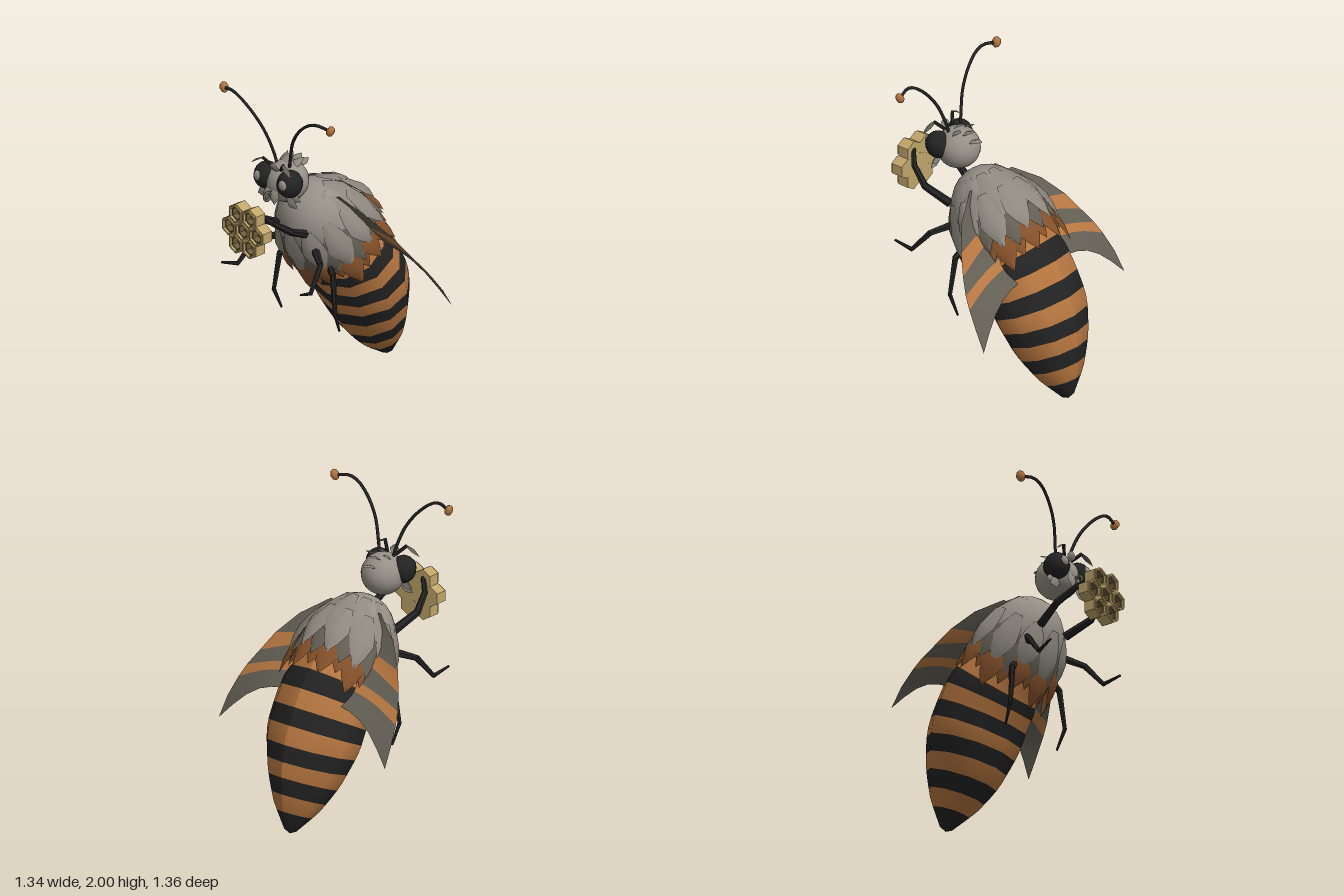
import * as THREE from 'three';

const V = (x, y, z) => new THREE.Vector3(x, y, z);
const make = (name, color, extra = {}) => {
  const m = new THREE.MeshStandardMaterial({ color, ...extra });
  m.name = name;
  return m;
};

// Grid of points (rows of equal length) to a smooth surface; rowMaterial gives one material index per row gap
function gridGeometry(rows, rowMaterial) {
  const n = rows[0].length, index = [];
  const geo = new THREE.BufferGeometry().setFromPoints(rows.flat());
  for (let i = 0; i < rows.length - 1; i++) {
    if (rowMaterial) geo.addGroup(index.length, (n - 1) * 6, rowMaterial(i));
    for (let j = 0; j < n - 1; j++) {
      const a = i * n + j, b = a + 1, c = a + n, d = c + 1;
      index.push(a, b, c, b, d, c);
    }
  }
  geo.setIndex(index);
  geo.computeVertexNormals();
  return geo;
}

// Pointed, ridged leaf from base to tip
function leafGeometry(base, tip, up, halfWidth, bulge) {
  const side = tip.clone().sub(base).cross(up).normalize();
  const widths = [0.35, 0.8, 1, 0.62, 0];
  const rows = widths.map((w, i) => {
    const s = i / 4, mid = base.clone().lerp(tip, s);
    return [-1, 0, 1].map(k => mid.clone()
      .addScaledVector(side, k * w * halfWidth)
      .addScaledVector(up, (k ? 0.2 : 1) * Math.sin(Math.PI * s) * bulge));
  });
  return gridGeometry(rows);
}

export function createModel() {
  const model = new THREE.Group();
  model.name = 'bee';
  const fur = make('grey fur', 0x969087);
  const furLeaf = make('grey tufts', 0x8e887f, { side: THREE.DoubleSide });
  const rust = make('rust tufts', 0x84502a, { side: THREE.DoubleSide });
  const orange = make('orange', 0xb67640);
  const black = make('black', 0x232323);
  const wingGrey = make('wing grey', 0x625e54, { side: THREE.DoubleSide });
  const wingOrange = make('wing orange', 0xb67640, { side: THREE.DoubleSide });
  const comb = make('honeycomb', 0xc0a56a);
  const cell = make('honeycomb cell', 0x6b5a3a);
  const legMat = make('leg black', 0x232323, { flatShading: true });

  const add = (name, geo, mat, parent = model) => {
    const mesh = new THREE.Mesh(geo, mat);
    mesh.name = name;
    parent.add(mesh);
    return mesh;
  };
  const group = name => {
    const g = new THREE.Group();
    g.name = name;
    model.add(g);
    return g;
  };
  const ball = (name, mat, pos, scale, w = 16, h = 12) => {
    const m = add(name, new THREE.SphereGeometry(1, w, h), mat);
    m.position.copy(pos);
    m.scale.copy(scale);
    return m;
  };
  const limb = (name, points, r0, r1) => {
    const g = group(name);
    for (let i = 0; i < points.length - 1; i++) {
      const a = points[i], b = points[i + 1], n = points.length - 1;
      const ra = r0 + (r1 - r0) * i / n, rb = r0 + (r1 - r0) * (i + 1) / n;
      const m = add(name + 'Segment', new THREE.CylinderGeometry(rb, ra, a.distanceTo(b) + 0.01, 6), legMat, g);
      m.position.copy(a).lerp(b, 0.5);
      m.quaternion.setFromUnitVectors(V(0, 1, 0), b.clone().sub(a).normalize());
    }
  };

  // Striped abdomen: ten-sided rings swept along a bent spine, two rings per stripe
  const spine = new THREE.CatmullRomCurve3([V(0, 0.95, -0.14), V(0, 0.81, -0.25), V(0, 0.6, -0.365),
    V(0, 0.345, -0.465), V(0, 0.165, -0.54), V(0, 0.022, -0.6)]);
  const radii = new THREE.CatmullRomCurve3([V(0.27, 0.24, 0), V(0.325, 0.272, 0), V(0.325, 0.275, 0),
    V(0.25, 0.235, 0), V(0.155, 0.15, 0), V(0.04, 0.04, 0)]);
  const steps = 20, rings = [];
  for (let i = 0; i <= steps; i++) {
    const t = spine.getUtoTmapping(i / steps);
    const c = spine.getPoint(t), T = spine.getTangent(t), r = radii.getPoint(t);
    rings.push(Array.from({ length: 11 }, (_, j) => {
      const a = j * Math.PI / 5;
      return V(Math.sin(a) * r.x, -T.z * Math.cos(a) * r.y, T.y * Math.cos(a) * r.y).add(c);
    }));
  }
  rings.push(rings[0].map(() => V(0, 0.002, -0.604)));
  add('abdomen', gridGeometry(rings, i => (i >= steps ? 1 : Math.floor(i / 2) % 2)), [orange, black]);

  // Thorax ball tilted along the body axis
  const origin = V(0, 1.4, 0.18), axis = V(0, -0.837, -0.547), back = V(0, 0.547, -0.837);
  const thorax = ball('thorax', fur, origin.clone().addScaledVector(axis, 0.36).addScaledVector(back, -0.01),
    V(0.265, 0.31, 0.255), 20, 14);
  thorax.quaternion.setFromUnitVectors(V(0, 1, 0), axis.clone().negate());

  // Overlapping rings of fur tufts, flaring more on the back
  const tuftRing = (name, mat, count, phase, t0, r0, t1, r1, w, bulge, vary) => {
    const g = group(name);
    for (let i = 0; i < count; i++) {
      const a = (i + phase) / count * Math.PI * 2;
      const out = back.clone().multiplyScalar(Math.cos(a)).add(V(Math.sin(a), 0, 0));
      const at = (t, r) => origin.clone().addScaledVector(axis, t).addScaledVector(out, r);
      const tip = at(t1 + (i % 2 ? vary : -vary), r1 * (1 + 0.07 * Math.cos(a)));
      add('tuft', leafGeometry(at(t0, r0), tip, out, w, bulge), mat, g);
    }
  };
  tuftRing('collarTufts', furLeaf, 10, 0, 0.09, 0.13, 0.38, 0.295, 0.078, 0.045, 0.01);
  tuftRing('middleTufts', furLeaf, 11, 0.5, 0.2, 0.235, 0.53, 0.33, 0.082, 0.045, 0.02);
  tuftRing('shadeTufts', wingGrey, 11, 0, 0.26, 0.235, 0.56, 0.325, 0.075, 0.03, 0.015);
  tuftRing('lowerTufts', rust, 11, 0.5, 0.34, 0.245, 0.68, 0.335, 0.082, 0.045, 0.03);
  tuftRing('underTufts', rust, 11, 0, 0.36, 0.24, 0.63, 0.315, 0.07, 0.03, 0.02);

  // Head and curled tongue
  ball('head', fur, V(0, 1.457, 0.28), V(0.137, 0.135, 0.14), 20, 14);
  const tongue = add('tongue', new THREE.TorusGeometry(0.026, 0.01, 6, 12), wingGrey);
  tongue.position.set(0, 1.4, 0.45);
  tongue.rotation.y = Math.PI / 2;
  const headTuft = (name, b, t, w) => {
    const up = t.clone().sub(V(0, 1.457, 0.28)).add(V(0, 0.03, 0.01));
    const dir = t.clone().sub(b).normalize();
    up.addScaledVector(dir, -up.dot(dir)).normalize();
    add(name, leafGeometry(b, t, up, w, 0.015), furLeaf);
  };
  headTuft('crownTuft', V(0, 1.56, 0.33), V(0, 1.635, 0.22), 0.04);
  headTuft('crownTuft', V(0, 1.55, 0.25), V(0, 1.6, 0.15), 0.045);
  headTuft('napeTuft', V(0, 1.52, 0.2), V(0, 1.55, 0.09), 0.04);
  headTuft('foreheadTuft', V(0, 1.55, 0.38), V(0, 1.615, 0.4), 0.04);

  // Thin fan wing rows: [root point, outer point]; material per gap
  const wingRows = [
    [V(0.16, 1.31, 0.03), V(0.2, 1.32, 0.02)], [V(0.17, 1.22, -0.03), V(0.38, 1.2, -0.065)],
    [V(0.18, 1.13, -0.1), V(0.495, 1.07, -0.16)], [V(0.19, 1.08, -0.16), V(0.56, 0.96, -0.23)],
    [V(0.2, 0.98, -0.26), V(0.61, 0.87, -0.295)], [V(0.21, 0.93, -0.31), V(0.635, 0.8, -0.345)],
    [V(0.215, 0.89, -0.36), V(0.66, 0.69, -0.42)], [V(0.22, 0.85, -0.41), V(0.67, 0.565, -0.49)]];

  for (const s of [-1, 1]) {
    const side = s > 0 ? 'left' : 'right';
    const P = (x, y, z) => V(x * s, y, z);

    const rows = wingRows.map(([a, b], i) => Array.from({ length: 6 }, (_, k) => {
      const p = a.clone().lerp(b, k / 5);
      const bend = Math.sin(Math.PI * k / 5) * (i / 7) ** 3;
      return P(p.x, p.y + bend * 0.07, p.z + bend * 0.022);
    }));
    add(side + 'Wing', gridGeometry(rows, i => (i === 2 || i === 4 ? 1 : 0)), [wingGrey, wingOrange]);

    // Eye with pale lens
    ball(side + 'Eye', black, P(0.1, 1.487, 0.355), V(0.08, 0.088, 0.085), 14, 10);
    ball(side + 'EyeLens', fur, P(0.108, 1.5, 0.425), V(0.033, 0.035, 0.02), 8, 6);

    // Face tufts
    headTuft(side + 'CheekTuft', P(0.08, 1.39, 0.36), P(0.17, 1.345, 0.36), 0.035);
    headTuft(side + 'CheekTuft', P(0.09, 1.41, 0.34), P(0.18, 1.385, 0.34), 0.03);
    headTuft(side + 'MouthTuft', P(0.025, 1.45, 0.41), P(0.04, 1.35, 0.43), 0.035);
    headTuft(side + 'CrownTuft', P(0.04, 1.55, 0.3), P(0.07, 1.61, 0.2), 0.03);
    limb(side + 'Brow', [P(0.03, 1.56, 0.36), P(0.085, 1.62, 0.4)], 0.011, 0.011);
    add(side + 'BrowLeaf', leafGeometry(P(0.08, 1.625, 0.4), P(0.175, 1.565, 0.42), V(0.5 * s, 0.85, 0.1), 0.02, 0.012), wingGrey);

    // Antenna with knob
    add(side + 'Antenna', new THREE.TubeGeometry(new THREE.CatmullRomCurve3([P(0.05, 1.55, 0.31),
      P(0.07, 1.63, 0.32), P(0.12, 1.77, 0.35), P(0.2, 1.88, 0.375), P(0.3, 1.96, 0.39),
      P(0.37, 1.98, 0.385), P(0.45, 1.965, 0.365)]), 18, 0.01, 6), black);
    const knob = ball(side + 'AntennaKnob', orange, P(0.46, 1.965, 0.363), V(0.028, 0.037, 0.03), 6, 4);
    knob.rotation.z = -0.4 * s;

    // Legs
    limb(side + 'FrontLeg', [P(0.12, 1.12, 0.25), P(0.165, 1.2, 0.41), P(0.125, 1.285, 0.53), P(0.06, 1.345, 0.59)], 0.028, 0.014);
    limb(side + 'MiddleLeg', [P(0.17, 1.0, 0.2), P(0.28, 0.97, 0.27), P(0.315, 0.825, 0.39), P(0.34, 0.86, 0.5)], 0.026, 0.007);
    limb(side + 'HindLeg', [P(0.15, 0.9, 0.08), P(0.23, 0.83, 0.11), P(0.265, 0.58, 0.125), P(0.25, 0.45, 0.075)], 0.026, 0.007);
  }

  // Honeycomb: seven open hexagonal cells
  const honeycomb = group('honeycomb');
  const hexPoints = r => Array.from({ length: 6 }, (_, i) => {
    const a = Math.PI / 6 + i * Math.PI / 3;
    return new THREE.Vector2(Math.cos(a) * r, Math.sin(a) * r);
  });
  const hexPrism = (r, depth, hole) => {
    const shape = new THREE.Shape(hexPoints(r));
    if (hole) shape.holes.push(new THREE.Path(hexPoints(hole)));
    return new THREE.ExtrudeGeometry(shape, { depth, bevelEnabled: false });
  };
  const place = (name, geo, mat, x, y, z) => add(name, geo, mat, honeycomb).position.set(x, y, z);
  [[0, 0]].concat(Array.from({ length: 6 }, (_, i) => [Math.cos(i * Math.PI / 3), Math.sin(i * Math.PI / 3)]))
    .forEach(([cx, cy]) => {
      const x = cx * 0.1166, y = 1.235 + cy * 0.1166;
      place('cellBack', hexPrism(0.0672, 0.02), comb, x, y, 0.588);
      place('cellWall', hexPrism(0.0672, 0.058, 0.049), comb, x, y, 0.608);
      place('cellRim', hexPrism(0.06, 0.01, 0.049), comb, x, y, 0.666);
      place('cellLining', hexPrism(0.049, 0.05, 0.04), cell, x, y, 0.608);
      place('cellFloor', hexPrism(0.042, 0.008), cell, x, y, 0.608);
    });

  return model;
}
